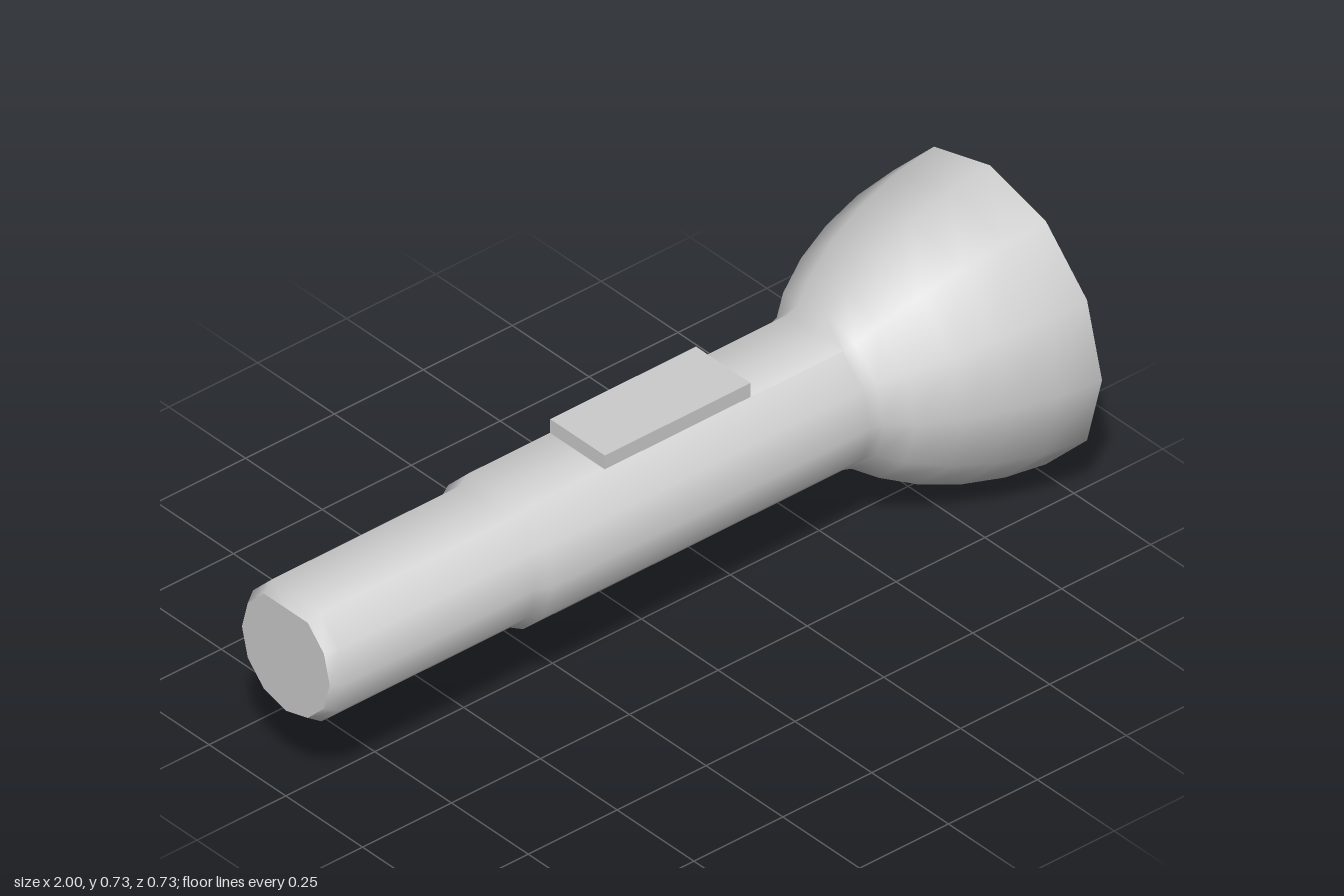
import * as THREE from 'three';
import { toCreasedNormals } from 'three/addons/utils/BufferGeometryUtils.js';

const AXIS_Y = 0.366;
const material = new THREE.MeshStandardMaterial({ color: 0xcccccc, side: THREE.DoubleSide });

// Turns a profile of [x, radius] points around the long (x) axis.
function turned(name, profile, sides, shape) {
  const points = profile.map(([x, r]) => new THREE.Vector2(r, x));
  const geometry = new THREE.LatheGeometry(points, sides).rotateZ(-Math.PI / 2);
  if (shape) shape(geometry.attributes.position);
  const mesh = new THREE.Mesh(toCreasedNormals(geometry, 0.95), material);
  mesh.name = name;
  mesh.position.y = AXIS_Y;
  return mesh;
}

// Lowers the topmost row of vertices so the handle has a flat strip on top.
function flattenTop(position) {
  for (let i = 0; i < position.count; i++) {
    if (position.getY(i) > 0 && Math.abs(position.getZ(i)) < 0.001 && position.getX(i) < 0.5) {
      position.setY(i, position.getY(i) * Math.cos(Math.PI / 6));
    }
  }
}

export function createModel() {
  const group = new THREE.Group();
  group.name = 'flashlight';

  // Handle: chamfered tail, small shoulder, thicker grip, flaring into the head
  group.add(turned('handleAndHead', [
    [-1, 0], [-1, 0.143], [-0.97, 0.163], [-0.44, 0.163], [-0.41, 0.179],
    [0.49, 0.179], [0.52, 0.187], [0.57, 0.23], [0.66, 0.282], [0.76, 0.322], [0.87, 0.351], [0.98, 0.365],
  ], 12, flattenTop));

  // Reflector: the inside of the head behind the rim
  group.add(turned('reflector', [[0.98, 0.365], [0.91, 0.29]], 12));

  // Lens: shallow dome bulging just past the rim
  const lens = [];
  for (let i = 0; i <= 5; i++) {
    const r = 0.304 * (1 - i / 5);
    lens.push([1 - 0.075 * (r / 0.304) ** 2, r]);
  }
  group.add(turned('lens', lens, 16));

  // Switch: slab on the flat strip of the handle
  const slide = new THREE.Mesh(new THREE.BoxGeometry(0.41, 0.06, 0.178), material);
  slide.name = 'switch';
  slide.position.set(0.025, 0.527, 0);
  group.add(slide);

  return group;
}
